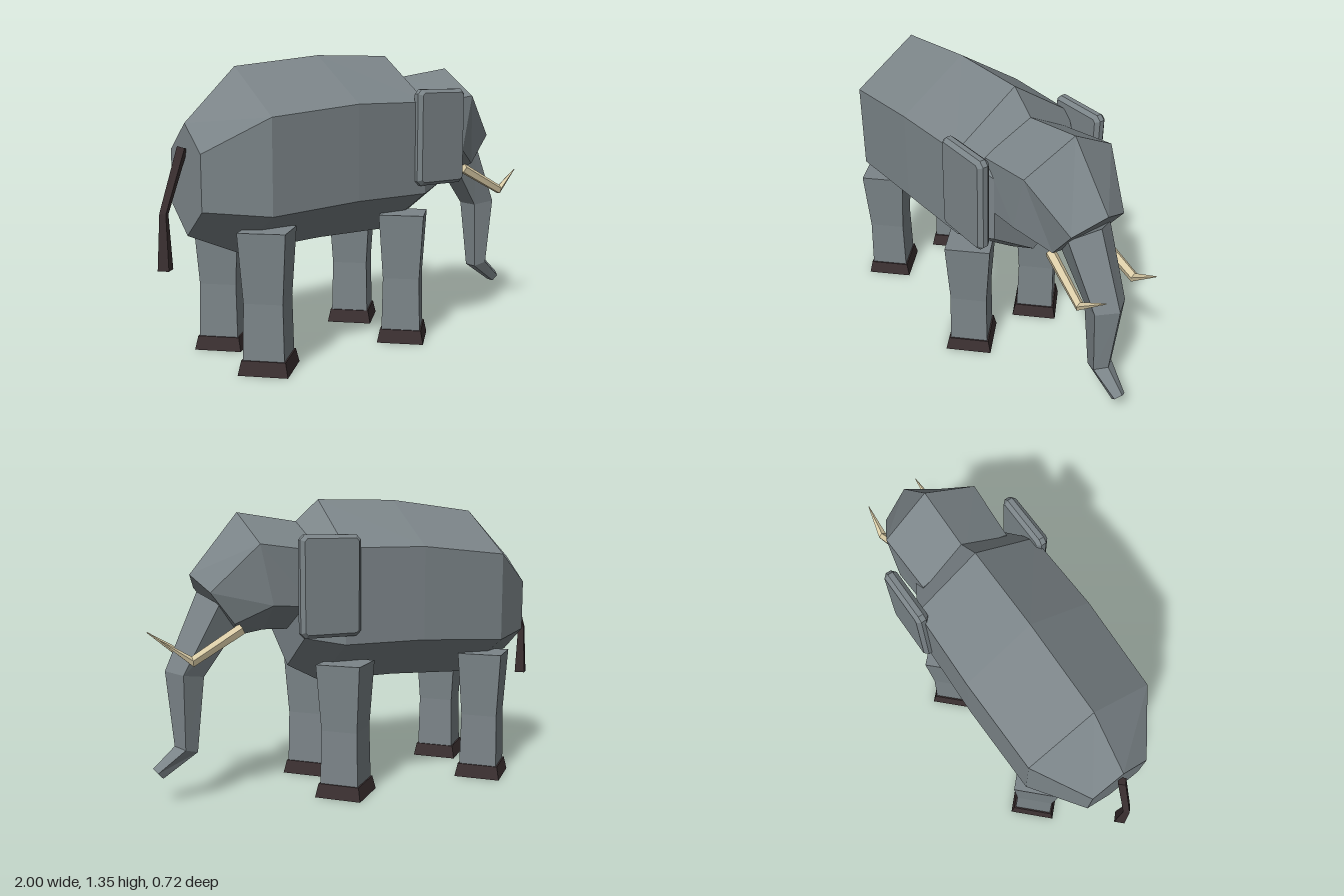
import * as THREE from 'three';

const mat = (name, color) => {
  const m = new THREE.MeshStandardMaterial({ color });
  m.name = name;
  return m;
};

// Faceted normals, so every flat face stays crisp
function facet(geo) {
  const g = geo.index ? geo.toNonIndexed() : geo;
  g.computeVertexNormals();
  return g;
}

// Skin over rings of n corners. Ring: [centre x, centre y, up x, up y, half width, centre z]
function loft(rings, n) {
  const rows = rings.map(([cx, cy, ux, uy, w, cz = 0]) =>
    Array.from({ length: n }, (_, k) => {
      const a = (k / n) * Math.PI * 2, c = Math.cos(a);
      return [cx + ux * c, cy + uy * c, cz + w * Math.sin(a)];
    }));
  const pos = [];
  const tri = (...pts) => pts.forEach((p) => pos.push(...p));
  for (let i = 0; i < rows.length - 1; i++) {
    for (let k = 0; k < n; k++) {
      const j = (k + 1) % n;
      const a = rows[i][k], b = rows[i][j], c = rows[i + 1][j], d = rows[i + 1][k];
      tri(a, b, c);
      tri(a, c, d);
    }
  }
  const first = rows[0], last = rows[rows.length - 1];
  for (let k = 1; k < n - 1; k++) {
    tri(first[0], first[k + 1], first[k]);
    tri(last[0], last[k], last[k + 1]);
  }
  const g = new THREE.BufferGeometry();
  g.setAttribute('position', new THREE.Float32BufferAttribute(pos, 3));
  return facet(g);
}

export function createModel() {
  const hide = mat('grey hide', 0x7b8488);
  const dark = mat('dark hoof', 0x3b3031);
  const ivory = mat('ivory', 0xd9cba6);
  const model = new THREE.Group();
  model.name = 'elephant';

  const add = (name, geo, material, parent = model) => {
    const m = new THREE.Mesh(geo, material);
    m.name = name;
    parent.add(m);
    return m;
  };

  // Body: hexagonal barrel with a ridge along the back
  add('body', loft([
    [-0.86, 0.825, 0, 0.24, 0.167],
    [-0.62, 0.89, 0, 0.41, 0.358],
    [-0.19, 0.925, 0, 0.425, 0.37],
    [0.2, 0.925, 0, 0.425, 0.358],
    [0.36, 0.895, 0, 0.31, 0.26],
  ], 6), hide);

  // Head: hexagonal, with a brow sloping to the trunk
  add('head', loft([
    [0.30, 1.0, -0.02, 0.245, 0.258],
    [0.533, 1.025, 0.057, 0.265, 0.273],
    [0.705, 0.88, 0.105, 0.14, 0.168],
  ], 6), hide);

  // Trunk: five-sided, curling forward at the tip
  add('trunk', loft([
    [0.68, 0.873, 0.1, 0.072, 0.124],
    [0.842, 0.585, 0.088, 0.016, 0.092],
    [0.845, 0.242, 0.053, 0.017, 0.056],
    [0.975, 0.142, 0.022, 0.025, 0.032],
  ], 5), hide);

  // Tail: thin, thicker at the tuft
  add('tail', loft([
    [-0.872, 0.962, 0.024, -0.008, 0.022],
    [-0.964, 0.69, 0.02, -0.004, 0.02],
    [-0.965, 0.45, 0.035, 0, 0.035],
  ], 4), dark);

  // Ear panel with chamfered rim
  const w = 0.125, h = 0.205, c = 0.012;
  const earShape = new THREE.Shape([
    [-w + c, -h], [w - c, -h], [w, -h + c], [w, h - c],
    [w - c, h], [-w + c, h], [-w, h - c], [-w, -h + c],
  ].map(([x, y]) => new THREE.Vector2(x, y)));
  const earGeo = facet(new THREE.ExtrudeGeometry(earShape, {
    depth: 0.024, bevelEnabled: true, bevelThickness: 0.018, bevelSize: 0.016, bevelSegments: 1,
  }).translate(0, 0, -0.012));

  // Leg parts: four-sided, corners pointing along x and z
  const post = (top, bottom, y0, y1) =>
    facet(new THREE.CylinderGeometry(top, bottom, y1 - y0, 4).translate(0, (y0 + y1) / 2, 0));
  const upperLeg = post(0.147, 0.121, 0.31, 0.615);
  const lowerLeg = post(0.121, 0.128, 0.06, 0.31);
  const foot = post(0.137, 0.155, 0, 0.063);

  for (const s of [1, -1]) {
    const side = s > 0 ? 'left' : 'right';
    const sideName = s > 0 ? 'Near' : 'Far';

    add('ear' + sideName, earGeo, hide).position.set(0.277, 0.975, s * 0.316);

    // Tusk: slopes down, then turns up to a point
    add('tusk' + sideName, loft([
      [0.615, 0.785, 0.012, 0.023, 0.025, s * 0.125],
      [0.845, 0.66, 0.003, 0.024, 0.021, s * 0.155],
      [0.975, 0.757, -0.001, 0.002, 0.002, s * 0.14],
    ], 5), ivory);

    for (const [end, x] of [['front', 0.155], ['back', -0.59]]) {
      const leg = new THREE.Group();
      leg.name = `${end} leg ${side === 'left' ? 'near' : 'far'}`;
      leg.position.set(x, 0, s * 0.207);
      add('upperLeg', upperLeg, hide, leg);
      add('lowerLeg', lowerLeg, hide, leg);
      add('foot', foot, dark, leg);
      model.add(leg);
    }
  }
  return model;
}
